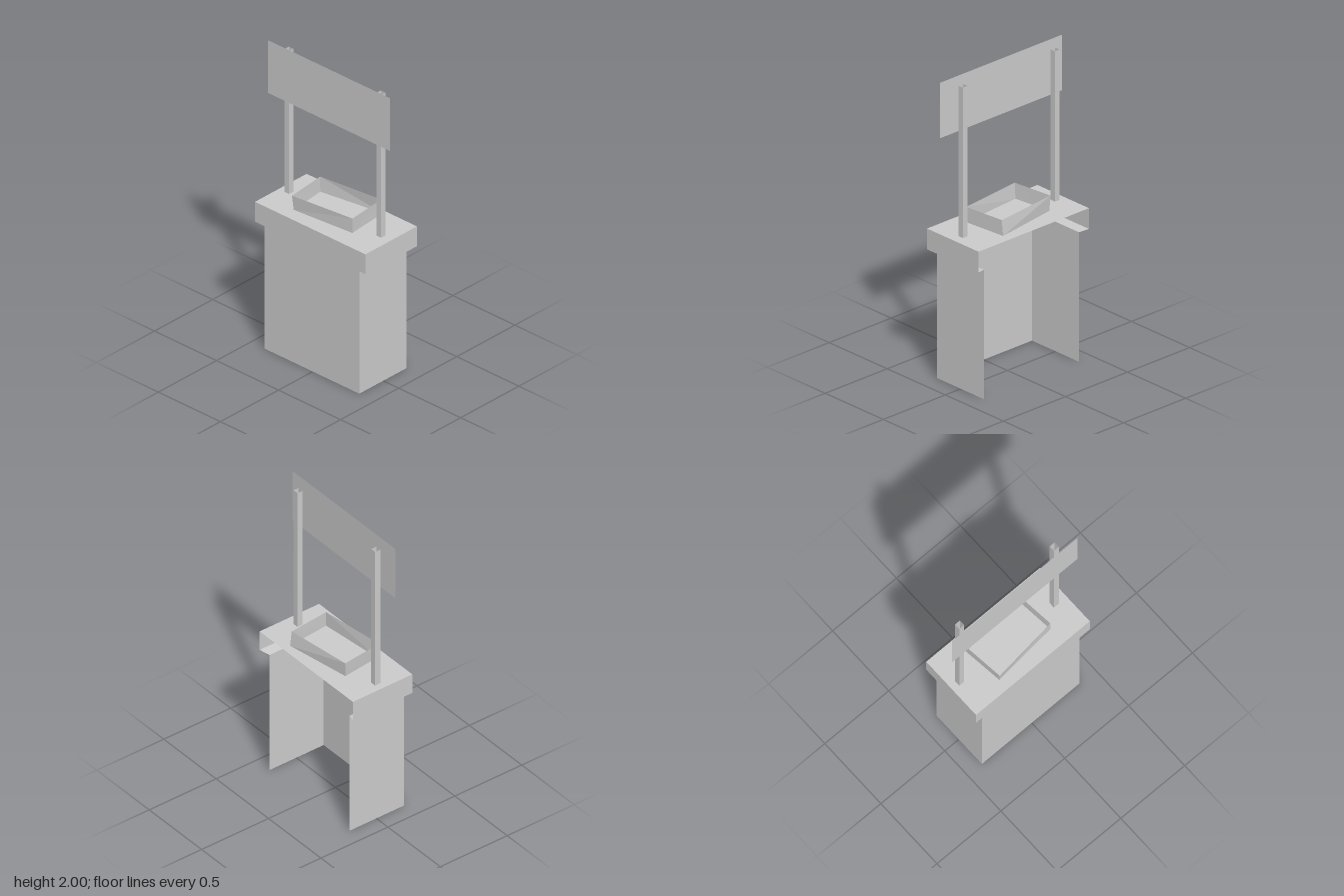
import * as THREE from 'three';

const material = new THREE.MeshStandardMaterial({
  color: 0xcccccc, flatShading: true, side: THREE.DoubleSide,
});

// Thin sheet made of four-cornered faces
function sheet(name, quads) {
  const points = quads.flatMap(([a, b, c, d]) => [a, b, c, a, c, d]);
  const geometry = new THREE.BufferGeometry();
  geometry.setAttribute('position', new THREE.Float32BufferAttribute(points.flat(), 3));
  geometry.computeVertexNormals();
  const mesh = new THREE.Mesh(geometry, material);
  mesh.name = name;
  return mesh;
}

// Walls that join a lower and an upper row of corners
function walls(lower, upper, closed) {
  const count = closed ? lower.length : lower.length - 1;
  return Array.from({ length: count }, (_, i) => {
    const j = (i + 1) % lower.length;
    return [lower[i], lower[j], upper[j], upper[i]];
  });
}

const at = (y, corners) => corners.map(([x, z]) => [x, y, z]);

export function createModel() {
  const group = new THREE.Group();

  // Base: front and two sides, open at the back
  const basePlan = [[-0.39, -0.2], [-0.39, 0.205], [0.375, 0.205], [0.375, -0.2]];
  const baseTop = at(0.84, basePlan);
  group.add(sheet('basePanels', walls(at(0, basePlan), baseTop, false)));

  // Counter: top and apron, open at the back
  const counterPlan = [[-0.45, -0.222], [-0.45, 0.222], [0.44, 0.222], [0.44, -0.222]];
  const apronBottom = at(0.85, counterPlan);
  const counterTop = at(0.985, counterPlan);
  group.add(sheet('counter', [...walls(apronBottom, counterTop, false), counterTop]));

  // Sloping strips below the two ends of the counter
  for (const [name, i] of [['rightLip', 0], ['leftLip', 2]]) {
    const lip = [apronBottom[i + 1], apronBottom[i], baseTop[i], baseTop[i + 1]];
    group.add(sheet(name, [lip]));
  }

  // Hollow square posts that pass through the counter top
  for (const [name, x] of [['rightPost', -0.384], ['leftPost', 0.357]]) {
    const h = 0.019;
    const plan = [[x - h, h], [x + h, h], [x + h, -h], [x - h, -h]];
    group.add(sheet(name, walls(at(0.92, plan), at(1.96, plan), true)));
  }

  // Sign board in front of the posts
  const sign = new THREE.Mesh(new THREE.PlaneGeometry(0.98, 0.36), material);
  sign.name = 'signBoard';
  sign.position.set(-0.005, 1.82, 0.06);
  group.add(sign);

  // Slightly skewed open tray, turned on the counter
  const trayFloor = at(0.998, [[-0.205, 0.15], [0.23, 0.11], [0.203, -0.18], [-0.235, -0.11]]);
  const trayRim = at(1.097, [[-0.21, 0.16], [0.23, 0.11], [0.203, -0.168], [-0.24, -0.115]]);
  group.add(sheet('tray', [trayFloor.slice().reverse(), ...walls(trayFloor, trayRim, true)]));

  return group;
}
